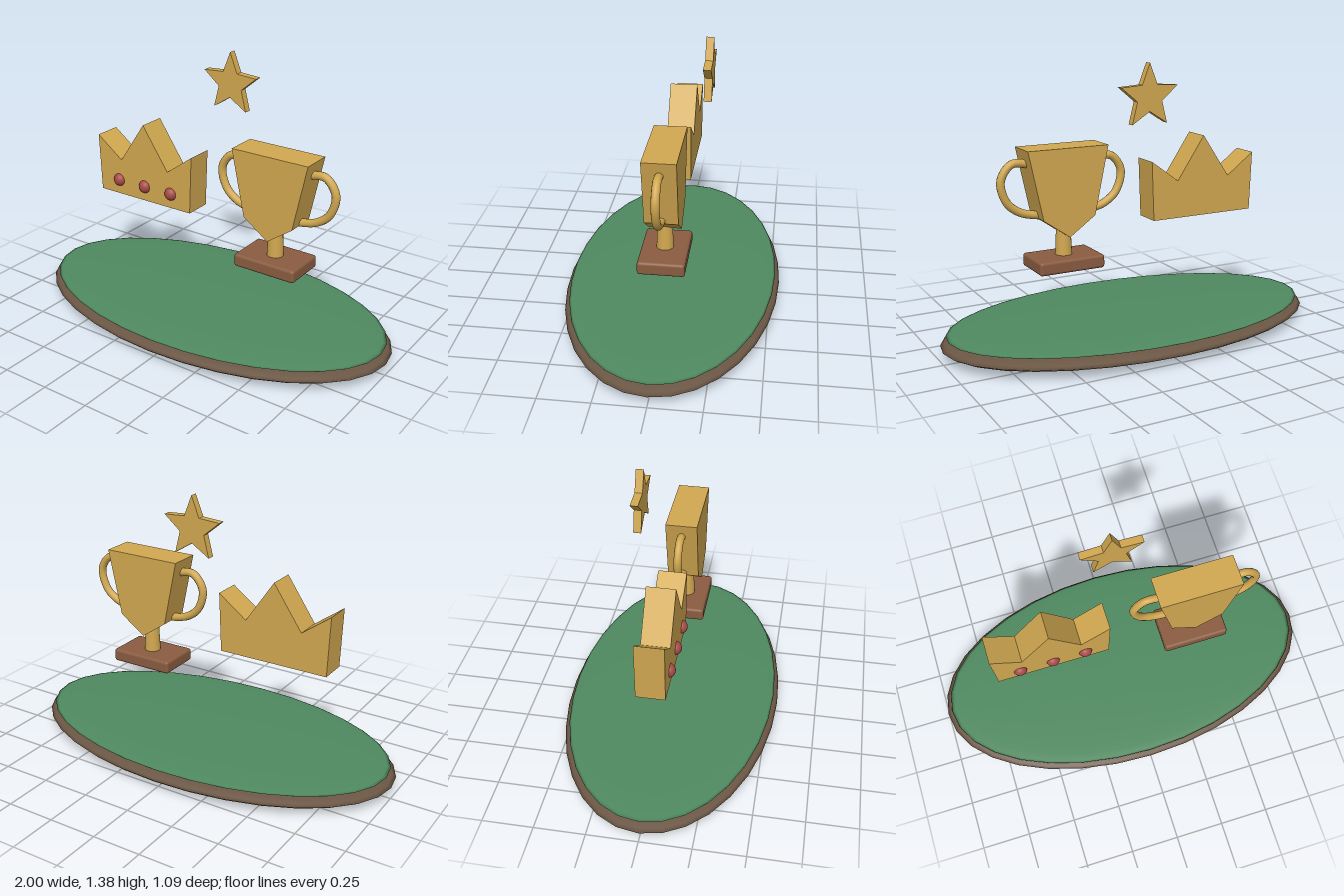
import * as THREE from 'three';
import { RoundedBoxGeometry } from 'three/addons/geometries/RoundedBoxGeometry.js';

const material = (color) => new THREE.MeshStandardMaterial({ color });
const gold = material(0xd1a850);
const wood = material(0x8a5c40);
const rimBrown = material(0x6b5644);
const felt = material(0x4f8a60);
const ruby = material(0xa84a48);

function add(parent, name, geometry, mat, x = 0, y = 0, z = 0) {
  const mesh = new THREE.Mesh(geometry, mat);
  mesh.name = name;
  mesh.position.set(x, y, z);
  parent.add(mesh);
  return mesh;
}

// Flat plate cut from an outline, centred on z = 0
function plate(points, depth) {
  const shape = new THREE.Shape(points.map(([x, y]) => new THREE.Vector2(x, y)));
  return new THREE.ExtrudeGeometry(shape, { depth, bevelEnabled: false }).translate(0, 0, -depth / 2);
}

function group(parent, name, x = 0) {
  const g = new THREE.Group();
  g.name = name;
  g.position.x = x;
  parent.add(g);
  return g;
}

export function createModel() {
  const model = new THREE.Group();
  model.name = 'trophyDisplay';

  // Oval base with a felt top, both flattened spheres
  const base = group(model, 'base');
  const disc = new THREE.SphereGeometry(1, 32, 16);
  add(base, 'baseRim', disc, rimBrown, 0, 0.058, 0).scale.set(1, 0.058, 0.547);
  add(base, 'feltTop', disc, felt, 0, 0.104, 0).scale.set(0.972, 0.018, 0.525);

  // Crown with three gems
  const crown = group(model, 'crown', -0.38);
  add(crown, 'crownBody', plate([
    [-0.288, 0.583], [0.288, 0.583], [0.3, 0.885], [0.15, 0.775],
    [0, 0.995], [-0.15, 0.775], [-0.3, 0.885],
  ], 0.14), gold);
  for (const x of [-0.168, 0, 0.168]) {
    add(crown, 'gem', new THREE.SphereGeometry(0.034, 20, 14), ruby, x, 0.66, 0.066).scale.z = 0.9;
  }

  // Trophy cup on a stem and foot
  const trophy = group(model, 'trophy', 0.375);
  add(trophy, 'cup', plate([
    [-0.208, 0.993], [-0.135, 0.655], [0, 0.56], [0.135, 0.655], [0.208, 0.993],
  ], 0.16), gold);
  add(trophy, 'stem', new THREE.CylinderGeometry(0.036, 0.042, 0.14, 20), gold, 0, 0.515, 0);
  add(trophy, 'foot', new RoundedBoxGeometry(0.34, 0.066, 0.226, 3, 0.014), wood, 0, 0.427, 0);

  // Mirrored handles
  for (const side of [-1, 1]) {
    const path = new THREE.CatmullRomCurve3([
      [0.17, 0.92], [0.26, 0.925], [0.315, 0.85], [0.288, 0.745], [0.22, 0.69], [0.11, 0.663],
    ].map(([x, y]) => new THREE.Vector3(side * x, y, 0)));
    add(trophy, 'handle', new THREE.TubeGeometry(path, 36, 0.02, 12), gold);
  }

  // Five-pointed star behind
  const starPoints = Array.from({ length: 10 }, (_, i) => {
    const r = i % 2 ? 0.07 : 0.16;
    const a = Math.PI / 2 + (i * Math.PI) / 5;
    return [r * Math.cos(a), r * Math.sin(a)];
  });
  add(model, 'star', plate(starPoints, 0.038), gold, 0, 1.224, -0.167);

  return model;
}
